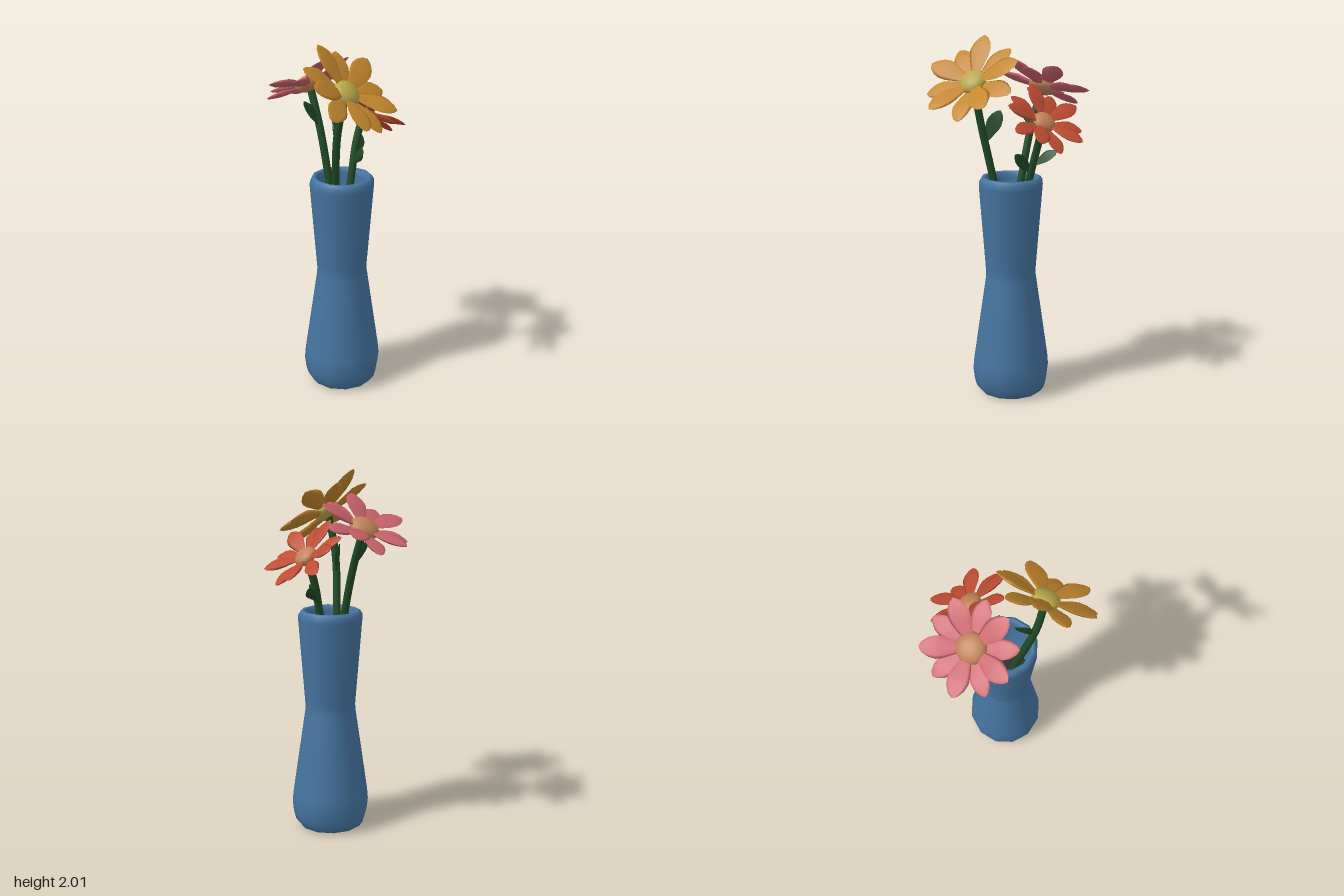
import * as THREE from 'three';

const paint = (name, color) => {
  const m = new THREE.MeshStandardMaterial({ color });
  m.name = name;
  return m;
};
const V = (a) => new THREE.Vector3(...a);

function mesh(name, geometry, material) {
  const m = new THREE.Mesh(geometry, material);
  m.name = name;
  return m;
}

// Flat, pointed blade growing along +y and facing +z; used for petals and leaves
function bladeGeometry(length, width, thickness, lift) {
  const outline = [[0, 0], [0.3, 0.03], [0.62, 0.25], [0.93, 0.48], [1, 0.62], [0.84, 0.78], [0.45, 0.93], [0, 1]];
  const points = outline.map(([r, t]) => new THREE.Vector2(r * width / 2, t * length));
  const g = new THREE.LatheGeometry(points, 8, Math.PI / 2);
  g.scale(1, 1, thickness / width);
  const p = g.attributes.position;
  for (let i = 0; i < p.count; i++) {
    const t = p.getY(i) / length;
    const across = p.getX(i) / (width / 2);
    p.setZ(i, p.getZ(i) + lift * t * t + 0.01 * across * across);
  }
  g.computeVertexNormals();
  return g;
}

// Turn an object so that +y runs along dir and +z faces roughly along facing
function aim(object, dir, facing) {
  const y = dir.clone().normalize();
  const x = new THREE.Vector3().crossVectors(y, facing).normalize();
  const z = new THREE.Vector3().crossVectors(x, y);
  object.quaternion.setFromRotationMatrix(new THREE.Matrix4().makeBasis(x, y, z));
}

function flower({ name, base, normal, radius, width, heart, spin, petal, centre }) {
  const group = new THREE.Group();
  group.name = name;
  const up = new THREE.Vector3(0, 1, 0);
  const inner = 0.03;
  const upper = bladeGeometry(radius - inner, width, 0.026, 0.012);
  const lower = bladeGeometry((radius - inner) * 0.95, width * 0.92, 0.026, 0.005);

  // Ten petals in two alternating layers
  for (let i = 0; i < 10; i++) {
    const a = spin + i * Math.PI / 5;
    const top = i % 2 === 0;
    const out = new THREE.Vector3(Math.cos(a), 0, Math.sin(a));
    const p = mesh('petal', top ? upper : lower, petal);
    p.position.copy(out).multiplyScalar(inner);
    p.position.y = top ? 0.012 : -0.004;
    aim(p, out.clone().addScaledVector(up, top ? 0.16 : 0.05), up);
    group.add(p);
  }

  // Domed flower heart
  const dome = mesh('flowerCentre', new THREE.SphereGeometry(heart, 14, 10), centre);
  dome.scale.y = 0.55;
  dome.position.y = 0.008;
  group.add(dome);

  group.position.copy(V(base));
  group.quaternion.setFromUnitVectors(up, V(normal).normalize());
  return group;
}

export function createModel() {
  const model = new THREE.Group();
  model.name = 'flowerVase';

  const blue = paint('vaseBlue', 0x4674a0);
  const dark = paint('soilDark', 0x2a2a2a);
  const green = paint('stemGreen', 0x1f4a25);
  const pink = paint('petalPink', 0xc8626a);
  const orange = paint('petalOrange', 0xbc4b32);
  const amber = paint('petalAmber', 0xc4872d);
  const peach = paint('centrePeach', 0xc08259);
  const yellow = paint('centreYellow', 0xb9a94b);

  // Vase: outer wall up, over the lip and down the inside
  const profile = [
    [0, 0], [0.16, 0], [0.178, 0.008], [0.198, 0.035], [0.21, 0.08], [0.217, 0.14], [0.212, 0.2],
    [0.142, 0.68], [0.14, 0.71], [0.143, 0.75],
    [0.178, 1.2], [0.177, 1.228], [0.165, 1.248], [0.152, 1.252], [0.14, 1.243], [0.134, 1.215],
    [0.115, 0.85], [0, 0.85],
  ].map(([r, y]) => new THREE.Vector2(r, y));
  const vase = mesh('vase', new THREE.LatheGeometry(profile, 12), blue);
  vase.position.set(0.022, 0, -0.025);
  model.add(vase);

  // Dark filling inside the neck
  const soil = mesh('soil', new THREE.CylinderGeometry(0.119, 0.115, 0.02, 12), dark);
  soil.position.set(0.022, 0.92, -0.025);
  model.add(soil);

  // Flower heads
  const heads = [
    { name: 'amberFlower', base: [0.015, 1.765, 0.175], normal: [0.72, 1, 0.66], radius: 0.285, width: 0.125,
      heart: 0.076, spin: 0, petal: amber, centre: yellow },
    { name: 'pinkFlower', base: [-0.13, 1.715, -0.225], normal: [-0.38, 1, -0.45], radius: 0.26, width: 0.115,
      heart: 0.082, spin: 0, petal: pink, centre: peach },
    { name: 'orangeFlower', base: [0.165, 1.565, -0.175], normal: [0.75, 1, -0.42], radius: 0.235, width: 0.095,
      heart: 0.064, spin: 0.25, petal: orange, centre: peach },
  ];
  heads.forEach((h) => model.add(flower(h)));

  // Stems, each ending under its flower head
  const stems = [
    [[0, 0.9, 0], [-0.025, 1.25, 0.07], [-0.022, 1.55, 0.135], heads[0].base],
    [[-0.01, 0.9, -0.04], [-0.048, 1.25, -0.1], [-0.085, 1.5, -0.155], heads[1].base],
    [[0.04, 0.9, -0.05], [0.09, 1.25, -0.115], [0.12, 1.42, -0.15], heads[2].base],
  ];
  stems.forEach((pts) => {
    const path = new THREE.CatmullRomCurve3(pts.map(V));
    model.add(mesh('stem', new THREE.TubeGeometry(path, 16, 0.021, 8), green));
  });

  // Leaves: root, tip, facing, width
  const leaves = [
    [[-0.025, 1.44, 0.11], [-0.04, 1.605, 0.02], [1, 0.2, 0.3], 0.085],
    [[-0.08, 1.5, -0.15], [-0.18, 1.645, -0.13], [0.5, 0.5, 0.8], 0.06],
    [[0.095, 1.29, -0.12], [0.13, 1.395, -0.025], [1, 0.4, 0.2], 0.065],
    [[0.105, 1.33, -0.135], [0.16, 1.405, -0.255], [0.8, 0.8, 0.1], 0.065],
  ];
  leaves.forEach(([root, tip, facing, width]) => {
    const dir = V(tip).sub(V(root));
    const leaf = mesh('leaf', bladeGeometry(dir.length(), width, 0.016, 0.008), green);
    leaf.position.copy(V(root));
    aim(leaf, dir, V(facing));
    model.add(leaf);
  });

  return model;
}
